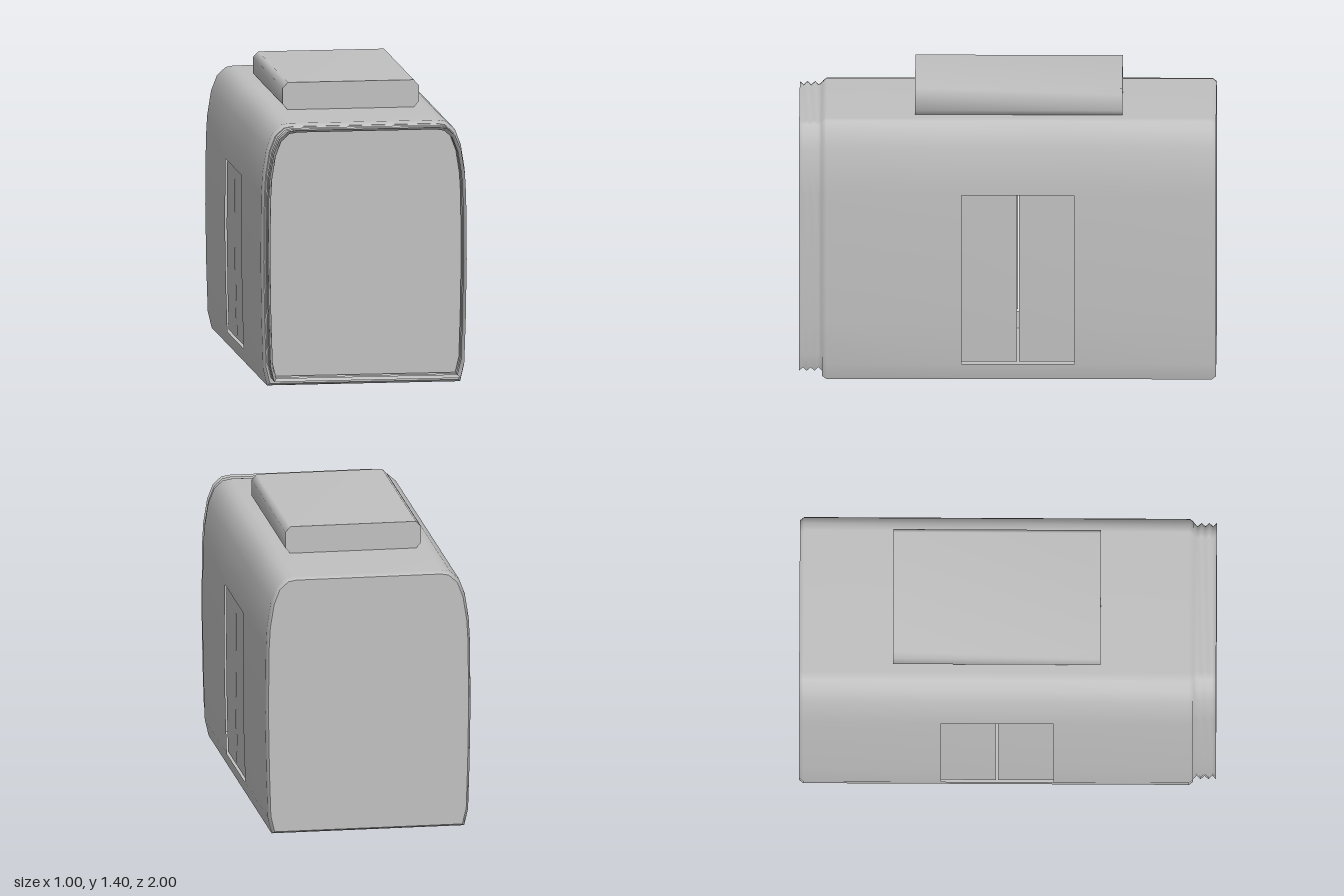
import * as THREE from 'three';

const grey = new THREE.MeshStandardMaterial({ color: 0xc0c0c0, side: THREE.DoubleSide });
grey.name = 'light grey';

// Right half of the car's cross-section, from sill to roof
const half = [[0.468, 0], [0.487, 0.08], [0.494, 0.3], [0.499, 0.6], [0.496, 0.92], [0.49, 1.03],
  [0.471, 1.15], [0.442, 1.225], [0.4, 1.263], [0.36, 1.27]];
const mirror = (pts) => [...pts, ...pts.map(([x, y]) => [-x, y]).reverse()];
const outline = mirror(half);
const sill = [outline[outline.length - 1], outline[0]];

// Smooth skin over sections { z, sx, y0, sy }; skip(i, j) leaves a quad open
function loft(profile, sections, skip = () => false) {
  const pos = [], index = [], kept = [], n = profile.length;
  for (const { z, sx = 1, y0 = 0, sy = 1 } of sections)
    for (const [x, y] of profile) pos.push(x * sx, y0 + y * sy, z);
  for (let j = 0; j < sections.length - 1; j++)
    for (let i = 0; i < n - 1; i++) {
      const a = j * n + i, b = a + 1, c = a + n, d = c + 1;
      const quad = [a, b, d, a, d, c];
      index.push(...quad);
      if (!skip(i, j)) kept.push(...quad);
    }
  const geo = new THREE.BufferGeometry();
  geo.setAttribute('position', new THREE.Float32BufferAttribute(pos, 3));
  geo.setIndex(index);
  geo.computeVertexNormals();
  geo.setIndex(kept);
  return geo;
}

// Flat end wall filling a profile
function wall(profile, { z, sx = 1, y0 = 0, sy = 1 }, back = false) {
  const shape = new THREE.Shape(profile.map(([x, y]) => new THREE.Vector2(x * sx, y0 + y * sy)));
  const geo = new THREE.ShapeGeometry(shape);
  if (back) geo.rotateY(Math.PI);
  return geo.translate(0, 0, z);
}

export function createModel() {
  const model = new THREE.Group();
  model.name = 'railCar';
  const add = (name, geo) => {
    const mesh = new THREE.Mesh(geo, grey);
    mesh.name = name;
    model.add(mesh);
  };

  // Body shell with a doorway in each side
  const end = { sx: 0.975, y0: 0.012, sy: 0.98 };
  const sections = [{ z: -1, ...end }, { z: -0.98 }, { z: -0.32 }, { z: 0.22 }, { z: 0.87 }, { z: 0.89, ...end }];
  const last = outline.length - 2;
  const doorway = (i, j) => j === 2 && ((i >= 1 && i <= 3) || (i <= last - 1 && i >= last - 3));
  add('bodyShell', loft(outline, sections, doorway));
  add('floor', loft(sill, sections));
  add('rearWall', wall(outline, sections[0], true));
  add('frontWall', wall(outline, sections[5]));

  // Recessed sliding doors, two leaves per side with a narrow gap between
  const leaf = [[0.48, 0.09], [0.486, 0.3], [0.49, 0.6], [0.487, 0.93]];
  for (const side of [1, -1])
    for (const [z0, z1] of [[-0.325, -0.055], [-0.045, 0.225]]) {
      const profile = side > 0 ? leaf : leaf.map(([x, y]) => [-x, y]).reverse();
      add(side > 0 ? 'leftDoorLeaf' : 'rightDoorLeaf', loft(profile, [{ z: z0 }, { z: z1 }]));
    }

  // Open gangway bellows at the front
  const folds = [];
  for (let i = 0; i <= 6; i++) {
    const size = i % 2 ? { sx: 0.937, y0: 0.05, sy: 0.938 } : { sx: 0.965, y0: 0.036, sy: 0.96 };
    folds.push({ z: 0.89 + i * 0.11 / 6, ...size });
  }
  add('bellows', loft(outline, folds));
  add('bellowsFloor', loft(sill, folds));

  // Roof equipment box with softened long edges
  const box = mirror([[0.305, 1.268], [0.33, 1.297], [0.33, 1.375], [0.305, 1.402]]);
  box.push(box[0]);
  const ends = [{ z: -0.55 }, { z: 0.445 }];
  add('roofUnit', loft(box, ends));
  add('roofUnitBack', wall(box.slice(0, -1), ends[0], true));
  add('roofUnitFront', wall(box.slice(0, -1), ends[1]));

  return model;
}
